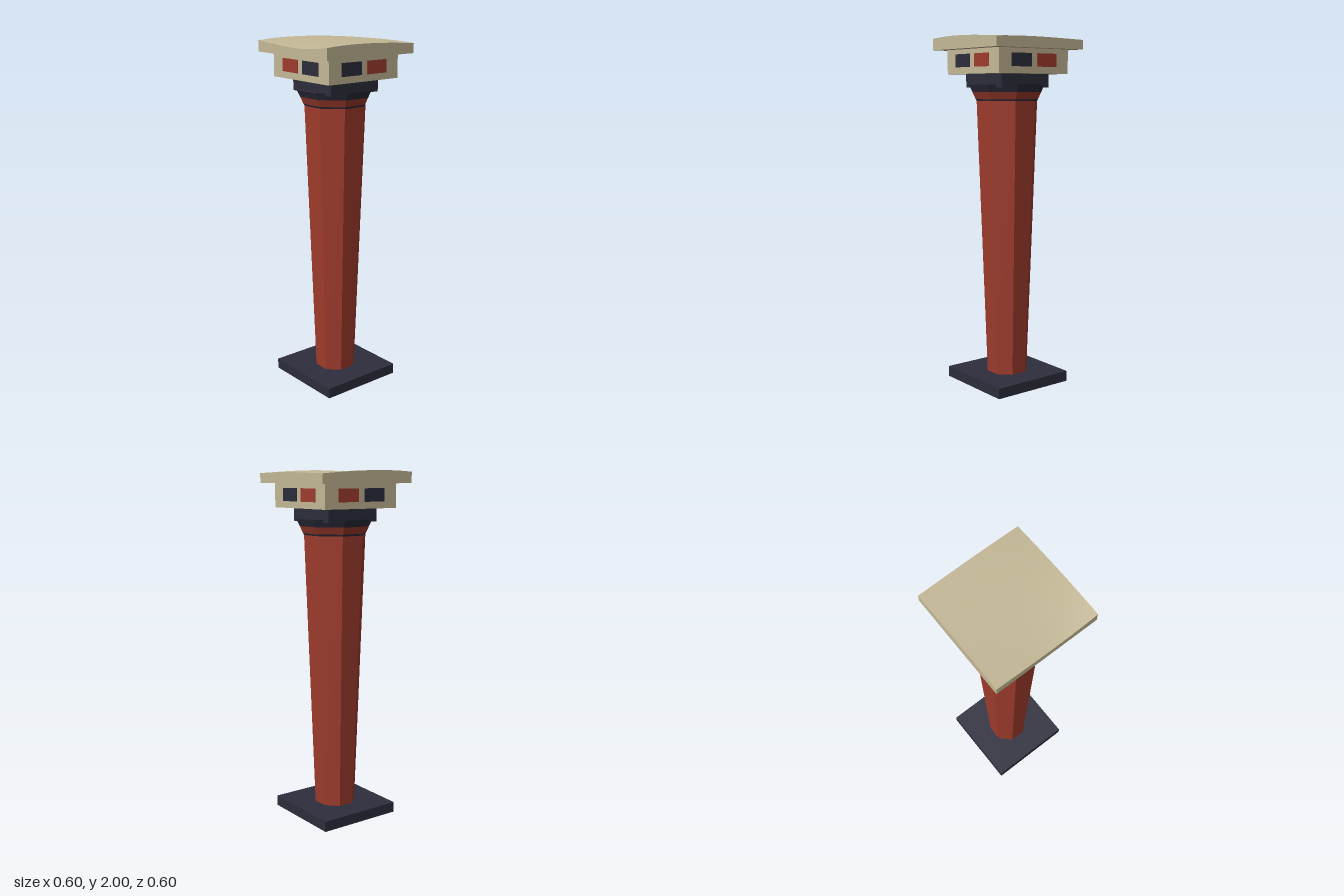
import * as THREE from 'three';

const paint = (name, color, options = {}) => {
  const m = new THREE.MeshStandardMaterial({ color, ...options });
  m.name = name;
  return m;
};

export function createModel() {
  const red = paint('brick red', 0xa03c2d);
  const dark = paint('slate', 0x2d2d3d);
  const stone = paint('sandstone', 0xc4b896);
  const model = new THREE.Group();
  model.name = 'column';

  const add = (name, geometry, material, x = 0, y = 0, z = 0) => {
    const mesh = new THREE.Mesh(geometry, material);
    mesh.name = name;
    mesh.position.set(x, y, z);
    model.add(mesh);
    return mesh;
  };

  // Eight-sided prism with a flat face to the front; sizes are centre-to-face
  const octagon = (top, bottom, y0, y1, open = false) => {
    const k = 1 / Math.cos(Math.PI / 8);
    let g = new THREE.CylinderGeometry(top * k, bottom * k, y1 - y0, 8, 1, open);
    g.rotateY(Math.PI / 8);
    g.translate(0, (y0 + y1) / 2, 0);
    g = g.toNonIndexed();
    g.computeVertexNormals();
    return g;
  };

  // Base slab, hollowed underneath, with an octagonal foot inside
  const square = (Type, s) => {
    const p = new Type();
    p.moveTo(-s, -s);
    p.lineTo(s, -s);
    p.lineTo(s, s);
    p.lineTo(-s, s);
    p.closePath();
    return p;
  };
  const rim = square(THREE.Shape, 0.25);
  rim.holes.push(square(THREE.Path, 0.21));
  const rimGeometry = new THREE.ExtrudeGeometry(rim, { depth: 0.02, bevelEnabled: false });
  rimGeometry.rotateX(-Math.PI / 2);
  add('baseRim', rimGeometry, dark);
  add('baseSlab', new THREE.BoxGeometry(0.5, 0.04, 0.5), dark, 0, 0.04);
  add('baseFoot', octagon(0.14, 0.125, 0.005, 0.021), dark);

  // Tapered shaft and flared collar with its inner floor
  add('shaft', octagon(0.165, 0.11, 0.06, 1.645), red);
  add('collar', octagon(0.205, 0.165, 1.64, 1.73, true), dark);
  add('collarFloor', octagon(0.201, 0.17, 1.65, 1.722), red);

  // Square neck and head block
  add('neck', new THREE.BoxGeometry(0.333, 0.08, 0.333), dark, 0, 1.755);
  add('head', new THREE.BoxGeometry(0.484, 0.135, 0.484), stone, 0, 1.8575);

  // A red and a dark panel on each side of the head
  for (const s of [-1, 1]) {
    for (const [t, material] of [[-1, red], [1, dark]]) {
      const name = material === red ? 'redPanel' : 'darkPanel';
      add(name, new THREE.BoxGeometry(0.137, 0.072, 0.006), material, t * 0.088, 1.863, s * 0.242);
      add(name, new THREE.BoxGeometry(0.006, 0.072, 0.137), material, s * 0.242, 1.863, t * 0.088);
    }
  }

  // Roof slab with a gently warped top: crowned sides and a sagging front edge
  const roof = new THREE.BoxGeometry(0.604, 0.07, 0.604, 10, 1, 10);
  const p = roof.attributes.position;
  for (let i = 0; i < p.count; i++) {
    const u = p.getX(i) / 0.302, v = p.getZ(i) / 0.302;
    const crown = 0.012 * (1 - v * v) * (1 + 0.25 * v);
    const sag = (1 - u * u) * (1 + 0.4 * u) * (0.006 - 0.024 * (1 + v) / 2);
    const top = 1.983 + 0.005 * v + 0.001 * u + crown + sag;
    p.setY(i, p.getY(i) > 0 ? Math.min(top, 2) : 1.925);
  }
  roof.computeVertexNormals();
  add('roofSlab', roof, stone);

  return model;
}
